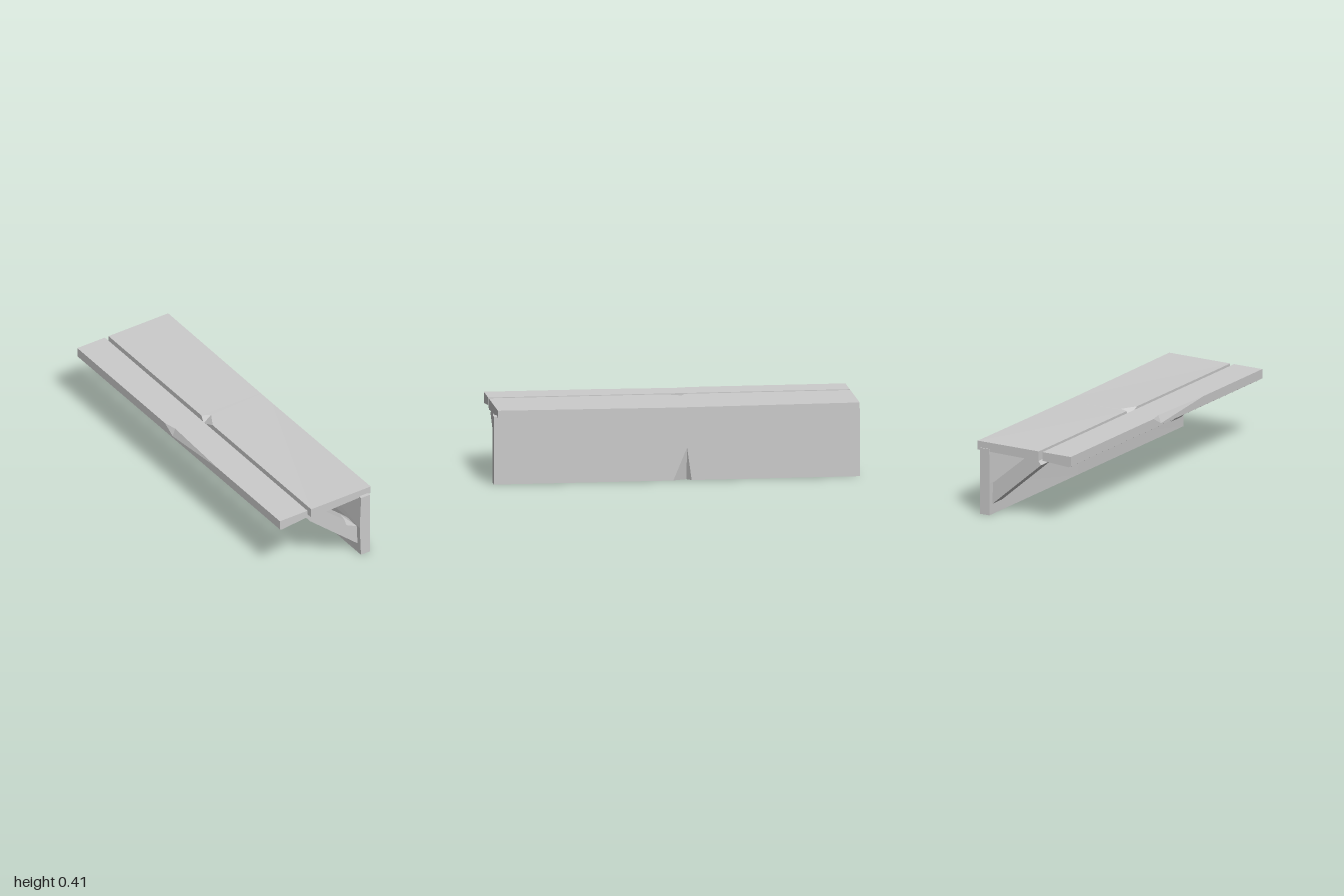
import * as THREE from 'three';

const material = new THREE.MeshStandardMaterial({ color: 0xcccccc, flatShading: true });

// Skins cross-sections (counter-clockwise seen from +z), listed from front to back, and caps both ends.
function loft(name, stations) {
  const pos = [];
  const put = (...pts) => pts.forEach((p) => pos.push(...p));
  const rings = stations.map(({ z, pts }) => pts.map(([x, y]) => [x, y, z]));
  const n = rings[0].length;
  for (let s = 0; s < rings.length - 1; s++) {
    const f = rings[s], b = rings[s + 1];
    for (let i = 0; i < n; i++) {
      const j = (i + 1) % n;
      put(f[i], b[i], f[j]);
      put(f[j], b[i], b[j]);
    }
  }
  const cap = (ring, front) => {
    const flat = ring.map(([x, y]) => new THREE.Vector2(x, y));
    for (const [a, b, c] of THREE.ShapeUtils.triangulateShape(flat, [])) {
      const ccw = flat[b].clone().sub(flat[a]).cross(flat[c].clone().sub(flat[a])) > 0;
      if (ccw === front) put(ring[a], ring[b], ring[c]);
      else put(ring[a], ring[c], ring[b]);
    }
  };
  cap(rings[0], true);
  cap(rings[rings.length - 1], false);
  const geometry = new THREE.BufferGeometry();
  geometry.setAttribute('position', new THREE.Float32BufferAttribute(pos, 3));
  geometry.computeVertexNormals();
  const mesh = new THREE.Mesh(geometry, material);
  mesh.name = name;
  return mesh;
}

// Stations of a part whose edge is chipped at one z: the corner splits into two points there.
const chipped = (section, front, chipFront, chipMid, chipBack, back) =>
  [front, chipFront, chipMid, chipBack, back].map((z) => ({ z, pts: section(z, z === chipMid) }));

export function createModel() {
  const group = new THREE.Group();
  const top = 0.408;
  const underside = (z) => 0.363 + 0.004 * z; // slight twist along the plank
  const sag = (z) => 0.409 - 0.005 * (1 - Math.abs(z)); // outer edge dips in the middle

  // Narrow plank, long shallow chip on its outer edge
  group.add(loft('narrowPlank', chipped((z, chip) => [
    [-0.285, 0.348], [-0.117, underside(z)], [-0.117, top],
    [chip ? -0.28 : -0.297, top], [-0.297, chip ? 0.365 : top], [-0.297, 0.355],
  ], 0.98, 0.375, -0.065, -0.14, -0.995)));

  // Wide plank, chip on the edge facing the gap
  group.add(loft('widePlank', chipped((z, chip) => [
    [-0.08, 0.348], [0, 0.355], [0.295, underside(z)], [0.295, sag(z)],
    [chip ? -0.045 : -0.093, top], [-0.093, chip ? 0.37 : top], [-0.093, 0.355],
  ], 0.98, 0.02, -0.067, -0.09, -0.995)));

  // Upright board, tall chip at its bottom edge, inner face bowed more at the front
  group.add(loft('uprightBoard', chipped((z, chip) => [
    [0.218, 0], [chip ? 0.245 : 0.278, 0], [0.278, chip ? 0.18 : 0],
    [0.278, 0.373], [0.219, 0.373], [0.213 - 0.003 * z, 0.18],
  ], 1, 0.02, -0.055, -0.08, -1)));

  // Diagonal beams under both ends; the front one has a chip in its upper edge
  const pit = [0.157, 0.225];
  const beam = (a, b, c) => [
    [-0.092, 0.323], [0.218, 0.057], [0.212, 0.178], c, b, a, [0, 0.356], [-0.075, 0.347],
  ];
  const whole = beam(pit, pit, pit);
  group.add(loft('frontBeam', [
    { z: 0.97, pts: beam([0.131, 0.247], [0.143, 0.207], [0.212, 0.173]) },
    { z: 0.89, pts: whole },
    { z: 0.87, pts: whole },
  ]));
  group.add(loft('backBeam', [{ z: -0.87, pts: whole }, { z: -0.97, pts: whole }]));
  return group;
}
